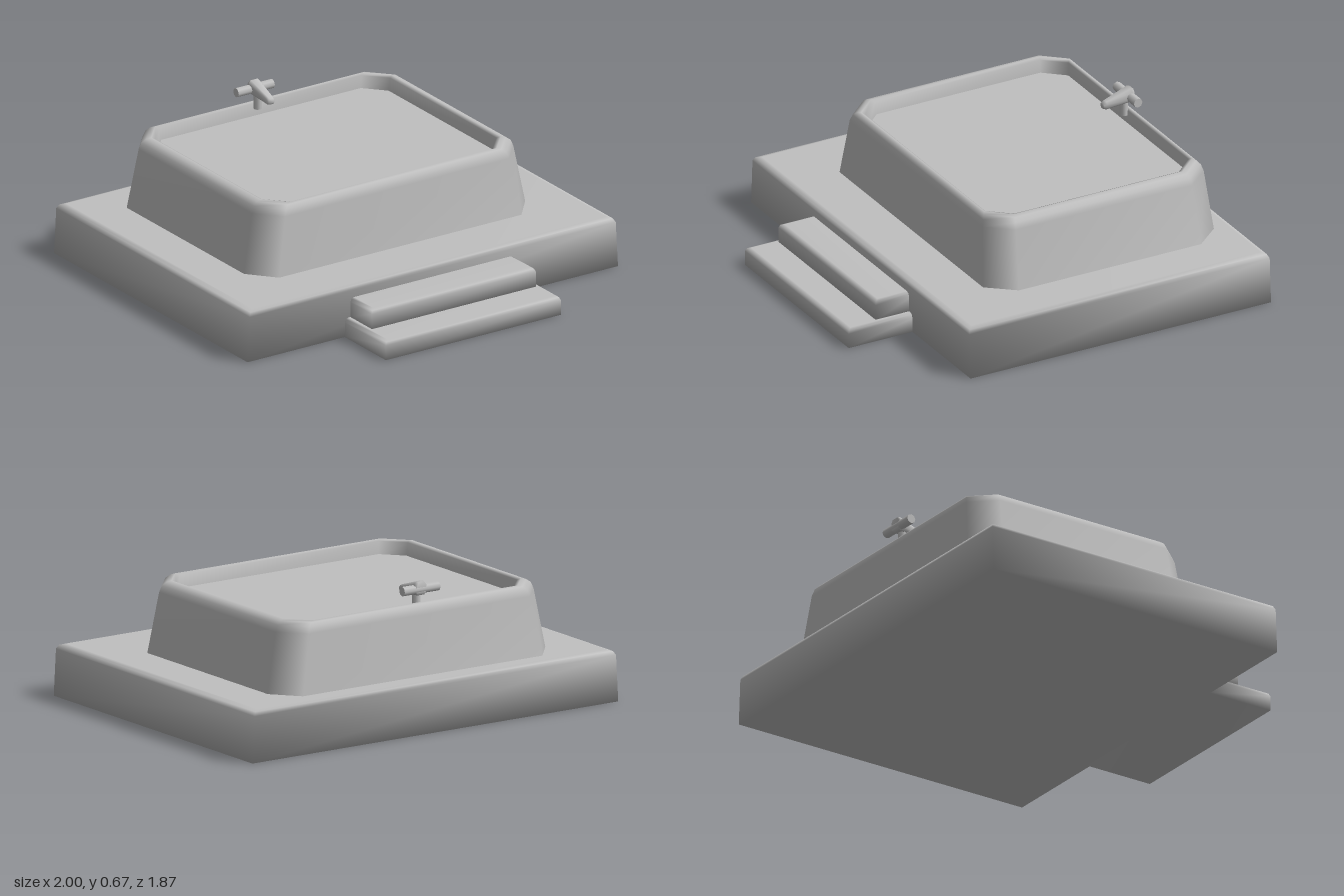
import * as THREE from 'three';

const grey = new THREE.MeshStandardMaterial({ color: 0xc0c0c0 });
grey.name = 'light grey';

// Plan outline at height y, running counter-clockwise from above; cx and cz cut the corners.
function ring(y, x0, x1, z0, z1, cx = 0, cz = 0) {
  if (!cx) return [[x1, y, z1], [x1, y, z0], [x0, y, z0], [x0, y, z1]];
  return [
    [x1, y, z1 - cz], [x1, y, z0 + cz], [x1 - cx, y, z0], [x0 + cx, y, z0],
    [x0, y, z0 + cz], [x0, y, z1 - cz], [x0 + cx, y, z1], [x1 - cx, y, z1],
  ];
}

// Skins a stack of rings with shared, smooth normals.
function loft(name, rings, capBottom = true, capTop = true) {
  const n = rings[0].length, index = [];
  for (let r = 0; r < rings.length - 1; r++) {
    for (let i = 0; i < n; i++) {
      const j = (i + 1) % n;
      const a = r * n + i, b = r * n + j, c = b + n, d = a + n;
      index.push(a, b, c, a, c, d);
    }
  }
  const top = (rings.length - 1) * n;
  for (let i = 1; i < n - 1; i++) {
    if (capBottom) index.push(0, i + 1, i);
    if (capTop) index.push(top, top + i, top + i + 1);
  }
  const geo = new THREE.BufferGeometry();
  geo.setAttribute('position', new THREE.Float32BufferAttribute(rings.flat(2), 3));
  geo.setIndex(index);
  geo.computeVertexNormals();
  const mesh = new THREE.Mesh(geo, grey);
  mesh.name = name;
  return mesh;
}

// Step block with softened top edges.
function step(name, x0, x1, z1, y0, y1) {
  const z0 = 0.59;
  return loft(name, [
    ring(y0, x0, x1, z0, z1),
    ring(y1 - 0.02, x0, x1, z0, z1),
    ring(y1 - 0.006, x0 + 0.006, x1 - 0.006, z0, z1 - 0.006),
    ring(y1, x0 + 0.02, x1 - 0.02, z0, z1 - 0.02),
  ]);
}

function faucet() {
  const g = new THREE.Group();
  g.name = 'faucet';
  const stem = new THREE.Mesh(new THREE.CylinderGeometry(0.02, 0.02, 0.09, 8), grey);
  stem.name = 'faucetStem';
  stem.position.set(0, 0.58, -0.755);
  const handle = new THREE.Mesh(new THREE.CylinderGeometry(0.022, 0.022, 0.195, 8), grey);
  handle.name = 'faucetHandle';
  handle.rotation.z = Math.PI / 2;
  handle.position.set(-0.005, 0.626, -0.777);

  // Spout: chamfered sections tapering and dropping from back to tip.
  const section = (z, w, lo, hi) => {
    const c = w * 0.4, m = (hi - lo) * 0.25;
    return [
      [w, lo + m, z], [w, hi - m, z], [w - c, hi, z], [c - w, hi, z],
      [-w, hi - m, z], [-w, lo + m, z], [c - w, lo, z], [w - c, lo, z],
    ];
  };
  const spout = loft('faucetSpout', [
    section(-0.795, 0.028, 0.602, 0.66),
    section(-0.782, 0.032, 0.6, 0.665),
    section(-0.66, 0.019, 0.588, 0.625),
    section(-0.645, 0.015, 0.592, 0.618),
  ]);
  g.add(stem, handle, spout);
  g.position.x = -0.022;
  return g;
}

export function createModel() {
  const model = new THREE.Group();
  model.name = 'bathtub';

  model.add(loft('platform', [
    ring(0, -1, 1, -0.935, 0.605),
    ring(0.215, -0.988, 0.988, -0.935, 0.605),
    ring(0.233, -0.978, 0.978, -0.926, 0.596),
    ring(0.24, -0.955, 0.955, -0.905, 0.575),
  ]));

  model.add(step('lowerStep', -0.475, 0.47, 0.932, 0, 0.09));
  model.add(step('upperStep', -0.445, 0.44, 0.777, 0.085, 0.182));

  // Tub: sloping outer wall, rounded rim and inner lip down to the water.
  model.add(loft('tub', [
    ring(0.235, -0.76, 0.76, -0.837, 0.347, 0.105, 0.125),
    ring(0.515, -0.705, 0.705, -0.812, 0.322, 0.1, 0.115),
    ring(0.545, -0.693, 0.693, -0.803, 0.313, 0.098, 0.11),
    ring(0.56, -0.672, 0.672, -0.79, 0.3, 0.095, 0.105),
    ring(0.565, -0.65, 0.65, -0.778, 0.288, 0.09, 0.1),
    ring(0.558, -0.634, 0.634, -0.767, 0.275, 0.088, 0.098),
    ring(0.49, -0.622, 0.622, -0.76, 0.267, 0.085, 0.095),
  ], false, false));

  model.add(loft('water', [ring(0.5, -0.625, 0.625, -0.762, 0.269, 0.085, 0.095)], false, true));
  model.add(faucet());
  return model;
}
